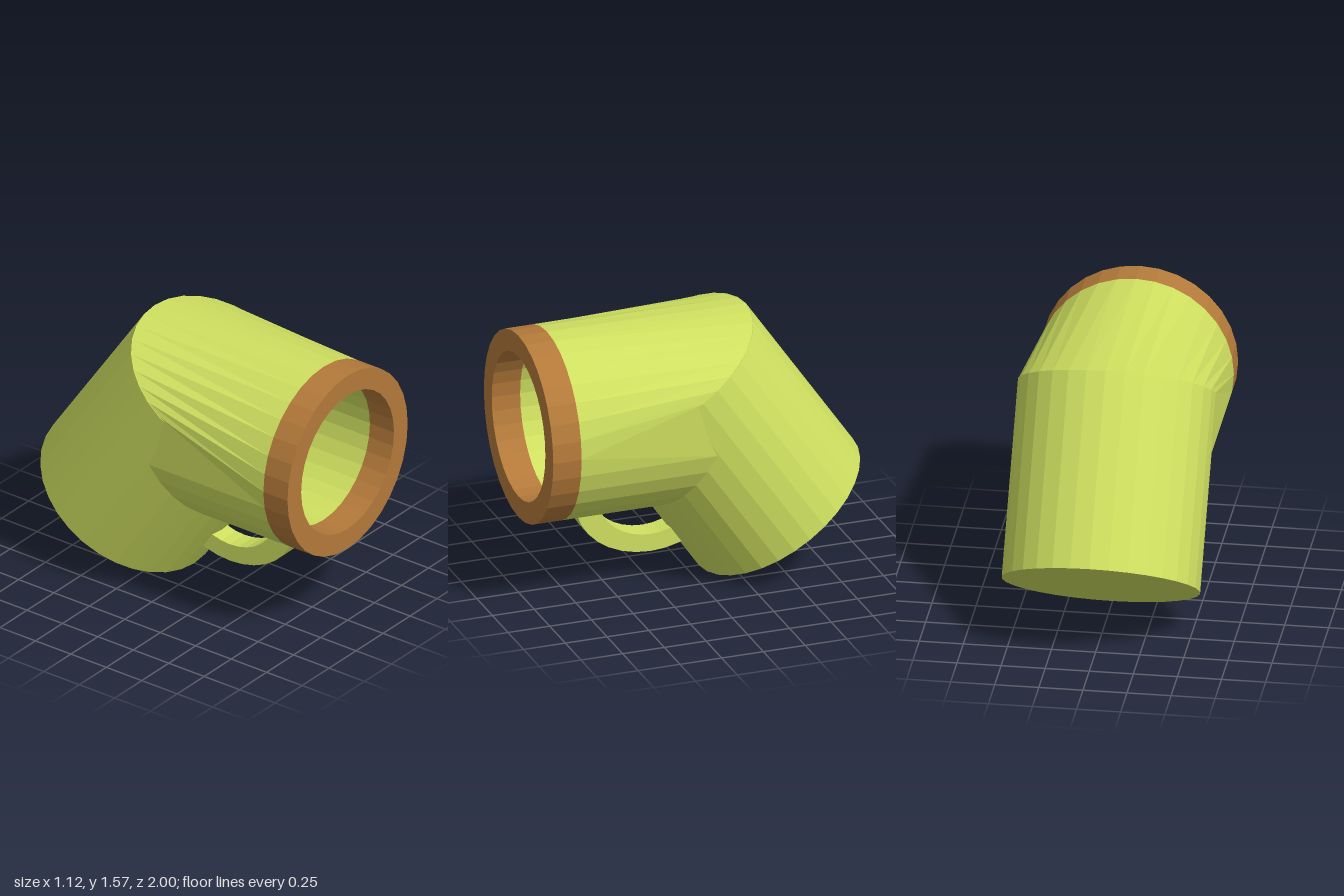
import * as THREE from 'three';

const SIDES = 32;
const R = 0.557, BORE = 0.43, AXIS_Y = 1.02, COLLAR_Z = 0.83;
const TILT = 0.603; // lean of the lower body
const CAP = { y: 1.25, z: 0.1 }; // centre of the lower body's upper end

const green = new THREE.MeshStandardMaterial({ color: 0xcfe060, flatShading: true, side: THREE.DoubleSide });
const brown = new THREE.MeshStandardMaterial({ color: 0xb47a3a, flatShading: true });

// Skin between two closed rings given as functions of the angle
function loft(front, back) {
  const pos = [], idx = [];
  for (let i = 0; i < SIDES; i++) {
    const a = (i / SIDES) * Math.PI * 2;
    pos.push(...front(a), ...back(a));
    const p = 2 * i, q = 2 * ((i + 1) % SIDES);
    idx.push(p, p + 1, q, q, p + 1, q + 1);
  }
  const g = new THREE.BufferGeometry();
  g.setAttribute('position', new THREE.Float32BufferAttribute(pos, 3));
  g.setIndex(idx);
  const flat = g.toNonIndexed();
  flat.computeVertexNormals();
  return flat;
}

const circle = (r, z) => (a) => [r * Math.cos(a), AXIS_Y + r * Math.sin(a), z];

// Ring cut along the mitre between the two bodies
const mitre = (r) => (a) => {
  const y = AXIS_Y + r * Math.sin(a);
  return [r * Math.cos(a), y, 0.24 - (y - 0.46) * 0.54];
};

// Upper half follows the rim of the lower body, lower half the mitre
const outerBack = (a) => {
  const s = Math.sin(a);
  if (s < -1e-6) return mitre(R)(a);
  return [R * Math.cos(a), CAP.y + R * s * Math.sin(TILT), CAP.z - R * s * Math.cos(TILT)];
};

// Elliptical band with an elliptical hole, extruded
function band(ax, ay, bx, by, depth) {
  const s = new THREE.Shape().absellipse(0, 0, ax, ay, 0, Math.PI * 2);
  s.holes.push(new THREE.Path().absellipse(0, 0, bx, by, 0, Math.PI * 2));
  return new THREE.ExtrudeGeometry(s, { depth, bevelEnabled: false, curveSegments: SIDES / 2 });
}

export function createModel() {
  const model = new THREE.Group();
  const add = (name, geometry, material) => {
    const mesh = new THREE.Mesh(geometry, material);
    mesh.name = name;
    model.add(mesh);
    return mesh;
  };

  // Solid leaning body, closed at both ends
  const length = 1.129;
  const body = add('lowerBody', new THREE.CylinderGeometry(0.56, 0.56, length, SIDES), green);
  body.rotation.x = TILT;
  body.position.set(0, CAP.y - (length / 2) * Math.cos(TILT), CAP.z - (length / 2) * Math.sin(TILT));

  // Horizontal mouth tube: outer skin and bore
  add('mouthOuter', loft(circle(R, COLLAR_Z), outerBack), green);
  add('mouthBore', loft(circle(BORE, COLLAR_Z), mitre(BORE)), green);

  // Coloured collar round the opening
  const collar = add('collar', band(R, R, BORE, BORE, 1 - COLLAR_Z), brown);
  collar.position.set(0, AXIS_Y, COLLAR_Z);

  // Loop handle passing through the underside
  const handle = add('handle', band(0.45, 0.363, 0.31, 0.258, 0.137), green);
  handle.rotation.y = -Math.PI / 2;
  handle.position.set(0.056, 0.523, 0.23);

  return model;
}
